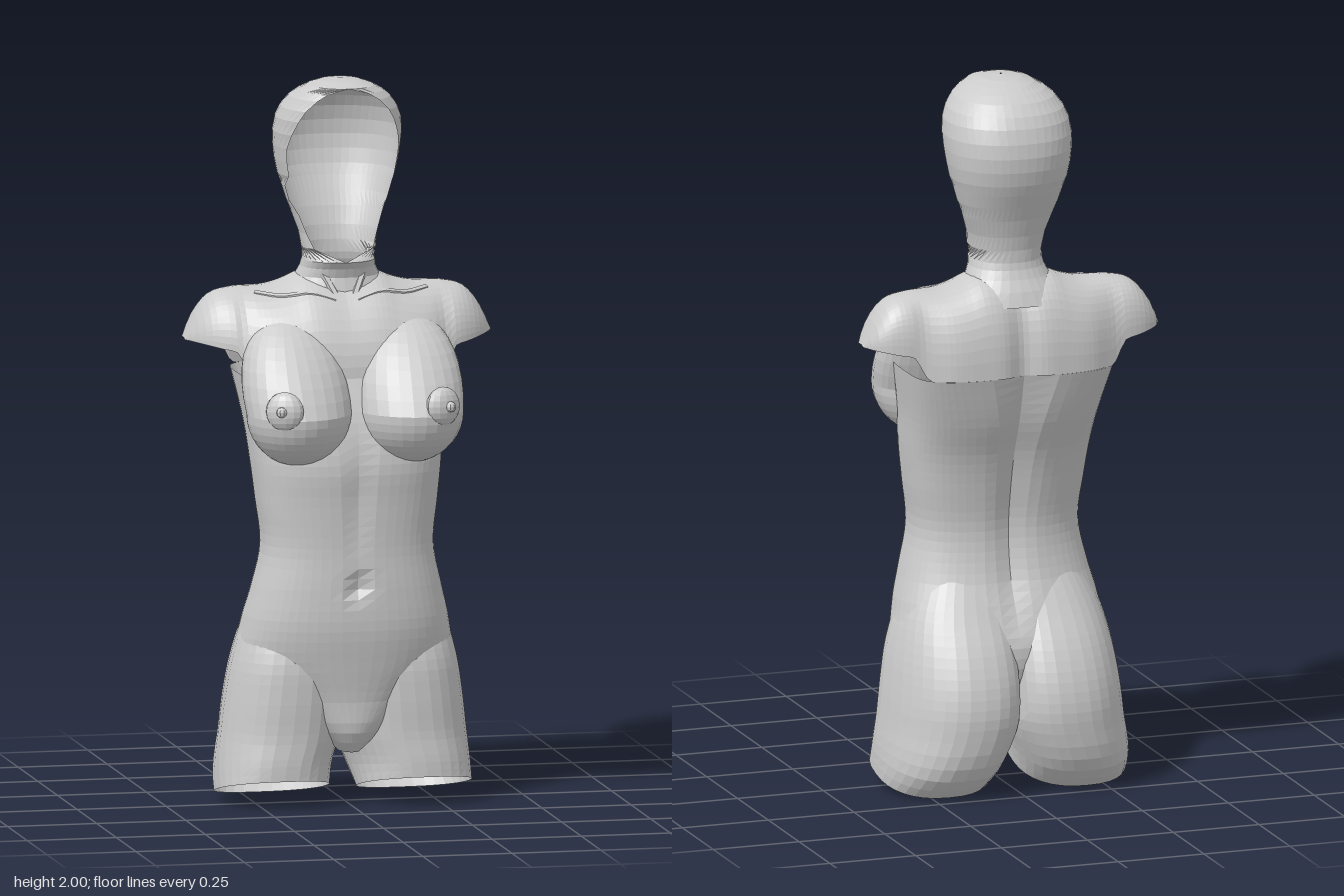
import * as THREE from 'three';

const material = new THREE.MeshStandardMaterial({ color: 0xcccccc, flatShading: true, side: THREE.DoubleSide });

function addMesh(parent, name, geometry) {
  const mesh = new THREE.Mesh(geometry, material);
  mesh.name = name;
  parent.add(mesh);
  return mesh;
}

// Skin over a grid of points: rows run upward, columns run counterclockwise
function skin(rows) {
  const cols = rows[0].length, index = [];
  for (let i = 0; i < rows.length - 1; i++) {
    for (let j = 0; j < cols - 1; j++) {
      const a = i * cols + j, d = a + cols;
      index.push(a, a + 1, d + 1, a, d + 1, d);
    }
  }
  const geometry = new THREE.BufferGeometry();
  geometry.setAttribute('position', new THREE.Float32BufferAttribute(rows.flat(2), 3));
  geometry.setIndex(index);
  geometry.computeVertexNormals();
  return geometry;
}

// Smooth lookup in a table whose first column is the key
function smoothTable(table) {
  const size = table[0].length - 1;
  const interpolant = new THREE.CubicInterpolant(table.map(r => r[0]), table.flatMap(r => r.slice(1)), size);
  return key => Array.from(interpolant.evaluate(key));
}

const { smoothstep } = THREE.MathUtils;
const signedPow = (v, p) => Math.sign(v) * Math.abs(v) ** p;
const bump = (v, centre, width) => Math.exp(-(((v - centre) / width) ** 2));
const spine = x => 0.022 * bump(x, 0, 0.04);
const range = (from, to, n) => Array.from({ length: n + 1 }, (_, i) => from + (to - from) * i / n);

// Rounded cross-section at height y, open at the front from the angle "cut"
function ring(y, cx, w, zFront, zBack, n, segments, cut = 0) {
  const c = (zFront + zBack) / 2, d = (zFront - zBack) / 2;
  return range(cut, 2 * Math.PI - cut, segments).map(a =>
    [cx + w * signedPow(Math.sin(a), 2 / n), y, c + d * signedPow(Math.cos(a), 2 / n)]);
}

// Trunk: height, half width, front z, back z, squareness
const trunkAt = smoothTable([
  [0.15, 0.03, 0.11, 0, 2], [0.2, 0.09, 0.145, -0.08, 2], [0.3, 0.205, 0.155, -0.19, 2.1],
  [0.4, 0.295, 0.172, -0.215, 2.2], [0.5, 0.288, 0.188, -0.185, 2.4], [0.6, 0.263, 0.19, -0.147, 2.5],
  [0.72, 0.238, 0.187, -0.13, 2.6], [0.85, 0.25, 0.193, -0.15, 2.7], [0.95, 0.26, 0.2, -0.178, 2.8],
  [1.05, 0.268, 0.182, -0.22, 3.1], [1.19, 0.29, 0.13, -0.26, 4]]);

function trunk() {
  return skin(range(0.15, 1.19, 36).map(y => {
    const [w, zf, zb, n] = trunkAt(y);
    return ring(y, 0, w, zf, zb, n, 56).map(([x, py, z]) => {
      if (z < (zf + zb) / 2) z += spine(x) * smoothstep(y, 0.4, 0.6);
      else z -= 0.012 * bump(x, 0, 0.03) * bump(y, 0.87, 0.16) + 0.02 * bump(x, 0, 0.03) * bump(y, 0.62, 0.03);
      return [x, py, z];
    });
  }));
}

// Shoulders: distance from the middle, top
const yokeTop = smoothTable([[0, 1.45], [0.1, 1.458], [0.15, 1.438], [0.2, 1.425], [0.3, 1.42],
  [0.36, 1.4], [0.4, 1.35], [0.43, 1.285]]);
// Shoulders: distance from the middle, front z, back z along the lower edge
const yokeEdge = smoothTable([[0, 0.13, -0.26], [0.1, 0.128, -0.259], [0.2, 0.113, -0.247], [0.25, 0.083, -0.226],
  [0.285, 0.05, -0.212], [0.34, 0.022, -0.204], [0.38, -0.008, -0.19], [0.41, -0.045, -0.166], [0.43, -0.085, -0.125]]);

function yokePoint(x, t) {
  const ax = Math.min(Math.abs(x), 0.43);
  const [zf, zb] = yokeEdge(ax), yt = yokeTop(ax)[0];
  // the lower edge lifts past the chest to leave the arm opening
  const yb = 1.19 + 0.072 * smoothstep(ax, 0.262, 0.315) + 0.018 * smoothstep(ax, 0.3, 0.43);
  const a = Math.PI * t, mid = -0.1, front = t < 0.5, p = front ? 2 / 1.9 : 2 / 2.5;
  const y = yb + (yt - yb) * Math.max(0, Math.sin(a)) ** p;
  const z = mid + (front ? zf - mid : mid - zb) * signedPow(Math.cos(a), p);
  return [x, y, front ? z : z + spine(x) * Math.abs(Math.cos(a))];
}

// Thigh and buttock: height, inner x, outer x, front z, back z
const thighAt = smoothTable([[0.04, 0.045, 0.355, 0.155, -0.19], [0.1, 0.035, 0.355, 0.155, -0.262],
  [0.2, 0.008, 0.347, 0.15, -0.293], [0.3, 0, 0.335, 0.152, -0.286], [0.4, 0, 0.317, 0.148, -0.249],
  [0.5, 0.005, 0.287, 0.12, -0.189], [0.6, 0.02, 0.235, 0.08, -0.13]]);

function thigh(side) {
  return skin(range(0.04, 0.6, 20).map(y => {
    const [inner, outer, zf, zb] = thighAt(y);
    const tilt = Math.max(0, 1 - (y - 0.04) / 0.15);
    const row = ring(y, (inner + outer) / 2, (outer - inner) / 2, zf, zb, 2.4, 32).map(([x, py, z]) => {
      // the fullest part of the buttock lies towards the middle
      const shift = 0.04 * Math.max(0, -z / 0.29) * (1 - tilt);
      return [side * Math.max(0.003, x - shift), py + tilt * 0.04 * (z + 0.02) / 0.17, z];
    });
    return side > 0 ? row : row.reverse();
  }));
}

// Neck and hollow head: height, half width, front z, back z, z of the open rim (1 = closed)
const headRows = [
  [1.38, 0.19, 0.02, -0.23, 1], [1.42, 0.142, 0.01, -0.213, 1], [1.45, 0.116, 0.002, -0.195, 1],
  [1.475, 0.104, 0.01, -0.184, 1], [1.495, 0.1, 0.025, -0.18, 1], [1.53, 0.102, 0.03, -0.181, -0.01],
  [1.57, 0.108, 0.02, -0.189, -0.038], [1.62, 0.125, 0.01, -0.205, -0.055],
  [1.66, 0.14, 0.02, -0.222, -0.08], [1.7, 0.152, 0.03, -0.24, -0.08], [1.73, 0.162, 0.04, -0.252, -0.042],
  [1.77, 0.17, 0.05, -0.262, -0.036], [1.81, 0.175, 0.062, -0.266, -0.025], [1.85, 0.177, 0.073, -0.262, 0],
  [1.89, 0.172, 0.082, -0.25, 0.024], [1.92, 0.16, 0.083, -0.233, 0.037], [1.95, 0.138, 0.078, -0.205, 0.05],
  [1.968, 0.116, 0.07, -0.178, 0.056], [1.983, 0.088, 0.06, -0.148, 1], [1.994, 0.055, 0.015, -0.11, 1],
  [2, 0.002, -0.045, -0.05, 1]];

function headShell() {
  return skin(headRows.map(([y, w, zf, zb, rim]) => {
    const c = (zf + zb) / 2, d = (zf - zb) / 2;
    return ring(y, 0, w, zf, zb, 2.2, 32, Math.acos(Math.min(1, (rim - c) / d)));
  }));
}

// Breast: a sphere drawn up into a slope to the collarbone and turned outward
function breast(side) {
  const geometry = new THREE.SphereGeometry(1, 28, 20);
  const p = geometry.attributes.position;
  for (let i = 0; i < p.count; i++) {
    const a = p.getX(i), b = p.getY(i), c = p.getZ(i), up = Math.max(0, b);
    p.setXYZ(i, a * 0.148 * (1 + 0.2 * up) + side * (0.152 + Math.max(0, c) * 0.018 + up * 0.012),
      1.1 + b * (b > 0 ? 0.26 : 0.147), 0.12 + c * (c > 0 ? 0.162 : 0.1) - up * 0.125);
  }
  geometry.computeVertexNormals();
  return geometry;
}

function tube(points, radius) {
  const curve = new THREE.CatmullRomCurve3(points.map(q => new THREE.Vector3(...q)));
  return new THREE.TubeGeometry(curve, 8, radius, 6);
}

export function createModel() {
  const model = new THREE.Group();
  model.name = 'torso';
  addMesh(model, 'trunk', trunk());
  const xs = range(-0.43, 0.43, 56);
  addMesh(model, 'shoulders', skin(range(0, 1, 24).map(t => xs.map(x => yokePoint(x, t)))));
  addMesh(model, 'headAndNeck', headShell());

  for (const side of [1, -1]) {
    const label = side > 0 ? 'left' : 'right';
    addMesh(model, label + 'Thigh', thigh(side));
    addMesh(model, label + 'Breast', breast(side));

    const tip = new THREE.Group();
    tip.name = label + 'BreastTip';
    tip.position.set(side * 0.222, 1.125, 0.252);
    tip.rotation.set(-0.08, side * 0.5, 0);
    addMesh(tip, 'areola', new THREE.SphereGeometry(0.054, 14, 10)).scale.z = 0.6;
    addMesh(tip, 'nipple', new THREE.SphereGeometry(0.015, 8, 6)).position.z = 0.032;
    model.add(tip);

    // Collarbone sunk into the shoulder surface, and neck tendon
    const bone = [[0.03, 0.29], [0.1, 0.32], [0.17, 0.35], [0.24, 0.4]];
    addMesh(model, label + 'Collarbone', tube(bone.map(([x, t]) => {
      const [px, y, z] = yokePoint(side * x, t);
      return [px, y - 0.005, z - 0.006];
    }), 0.011));
    addMesh(model, label + 'NeckTendon', tube(
      [[side * 0.018, 1.385, 0.022], [side * 0.045, 1.44, -0.008], [side * 0.085, 1.52, -0.045]], 0.012));
  }
  return model;
}
